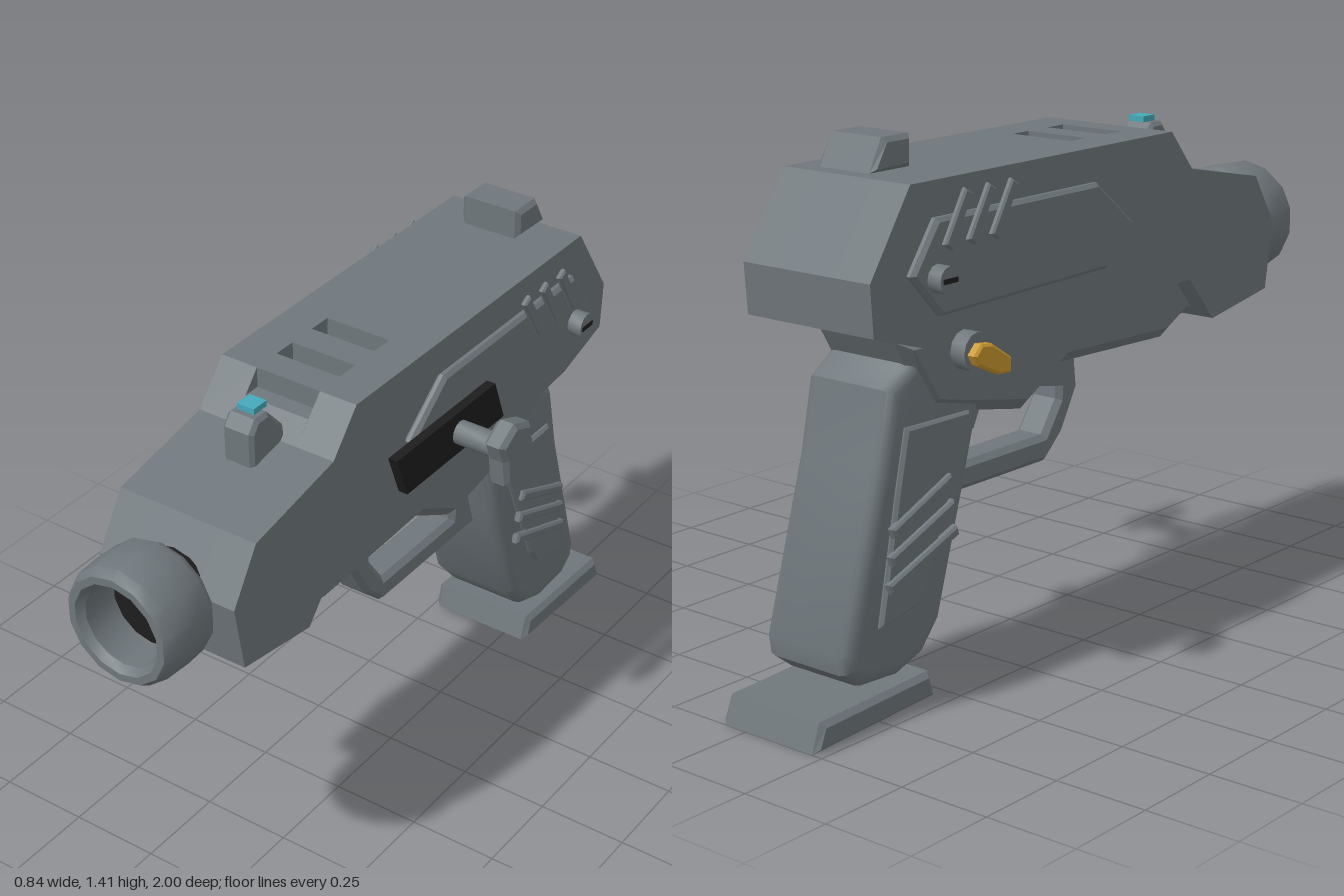
import * as THREE from 'three';
import { toCreasedNormals } from 'three/addons/utils/BufferGeometryUtils.js';

const material = (name, color) => new THREE.MeshStandardMaterial({ name, color });

export function createModel() {
  const grey = material('gunmetal grey', 0x6f777c);
  const black = material('matte black', 0x1d1d1d);
  const gold = material('gold', 0xc9982f);
  const cyan = material('cyan', 0x45a9ba);

  const root = new THREE.Group();
  root.name = 'sciFiPistol';
  const gun = new THREE.Group(); // the gun's own middle plane is x = 0 here
  gun.name = 'pistol';
  gun.position.x = -0.075;
  root.add(gun);

  const add = (name, geometry, mat) => {
    const mesh = new THREE.Mesh(geometry, mat);
    mesh.name = name;
    gun.add(mesh);
    return mesh;
  };
  const toVectors = (pts) => pts.map(([z, y]) => new THREE.Vector2(-z, y));

  // Side outline given as [z, y], extruded from x0 to x1 with an inward bevel
  function slab(name, mat, pts, x0, x1, bevel = 0, { holes = [], segments = 1 } = {}) {
    const shape = new THREE.Shape(toVectors(pts));
    holes.forEach((h) => shape.holes.push(new THREE.Path(toVectors(h))));
    let geo = new THREE.ExtrudeGeometry(shape, {
      depth: x1 - x0 - 2 * bevel, bevelEnabled: bevel > 0, bevelThickness: bevel,
      bevelSize: bevel, bevelOffset: -bevel, bevelSegments: segments,
    });
    geo.translate(0, 0, x0 + bevel);
    geo.rotateY(Math.PI / 2);
    if (segments > 1) geo = toCreasedNormals(geo, 0.6);
    return add(name, geo, mat);
  }
  // The same slab on both flanks
  function pair(name, mat, pts, x0, x1, bevel, options) {
    slab(name + 'Left', mat, pts, x0, x1, bevel, options);
    slab(name + 'Right', mat, pts, -x1, -x0, bevel, options);
  }
  // Bar outline between two [z, y] points
  function bar([az, ay], [bz, by], width) {
    const l = Math.hypot(bz - az, by - ay);
    const nz = (-(by - ay) / l) * width / 2, ny = ((bz - az) / l) * width / 2;
    return [[az + nz, ay + ny], [bz + nz, by + ny], [bz - nz, by - ny], [az - nz, ay - ny]];
  }
  // Cylinder along x
  function xCylinder(name, mat, r, x0, x1, y, z, sides) {
    const geo = new THREE.CylinderGeometry(r, r, x1 - x0, sides);
    geo.rotateZ(Math.PI / 2);
    geo.translate((x0 + x1) / 2, y, z);
    return add(name, toCreasedNormals(geo, 0.7), mat);
  }

  // Upper body: two full outer slabs and a middle slab with notched vents on top
  const underside = [
    [-0.7, 1.32], [-0.84, 1.11], [-0.83, 0.98], [-0.65, 0.925], [-0.5, 0.91], [0.42, 0.91],
    [0.53, 0.785], [0.785, 0.825], [0.815, 1.01], [0.725, 1.15], [0.42, 1.21],
  ];
  pair('bodySide', grey, [...underside, [0.325, 1.32]], 0.095, 0.2025);
  const vents = [[0.245, 0.18], [0.1, 0.035]].flatMap(
    ([a, b]) => [[a, 1.32], [a, 1.27], [b, 1.27], [b, 1.32]]);
  slab('bodyCentre', grey,
    [...underside, [0.373, 1.265], [0.325, 1.265], [0.325, 1.32], ...vents], -0.095, 0.095);

  // Lower frame
  slab('lowerFrame', grey, [
    [0.54, 0.8], [0.49, 0.79], [0.4, 0.745], [-0.035, 0.76], [-0.2, 0.67], [-0.43, 0.715],
    [-0.56, 0.745], [-0.67, 0.93], [0.44, 0.93],
  ], -0.15, 0.15, 0.03);

  // Flank panels with a slot, slanted ribs and a screw
  pair('sidePanel', grey, [
    [0.13, 1.115], [-0.02, 1.235], [-0.635, 1.235], [-0.725, 1.11], [-0.62, 1.0], [0.02, 1.01],
  ], 0.2, 0.23, 0.01, { holes: [[[-0.1, 1.155], [-0.345, 1.155], [-0.38, 1.075], [-0.1, 1.075]]] });
  for (let i = 0; i < 3; i++) {
    const z = -0.37 - i * 0.085;
    pair('sideRib' + (i + 1), grey, bar([z, 1.29], [z - 0.075, 1.165], 0.032), 0.23, 0.248, 0.005);
  }
  for (const s of [-1, 1]) {
    const side = s > 0 ? 'Left' : 'Right';
    const [x0, x1] = s > 0 ? [0.228, 0.27] : [-0.27, -0.228];
    xCylinder('screw' + side, grey, 0.035, x0, x1, 1.095, -0.64, 12);
    const slot = add('screwSlot' + side, new THREE.BoxGeometry(0.004, 0.012, 0.05), black);
    slot.position.set(s * 0.271, 1.095, -0.64);
  }

  // Muzzle: hollow rounded ring with a dark bore
  const ring = [
    [0.1, 0.82], [0.145, 0.82], [0.16, 0.84], [0.163, 0.9], [0.16, 0.975], [0.145, 1],
    [0.125, 1], [0.11, 0.98], [0.11, 0.84],
  ].map(([r, z]) => new THREE.Vector2(r, z));
  const muzzleGeo = new THREE.LatheGeometry(ring, 14);
  muzzleGeo.rotateX(Math.PI / 2);
  const muzzleMat = grey;
  const muzzle = add('muzzle', toCreasedNormals(muzzleGeo, 0.6), muzzleMat);
  muzzle.position.y = 0.98;
  const boreGeo = new THREE.CylinderGeometry(0.109, 0.109, 0.1, 14);
  boreGeo.rotateX(Math.PI / 2);
  add('bore', boreGeo, black).position.set(0, 0.98, 0.83);

  // Sights
  slab('frontSight', grey, [
    [0.53, 1.18], [0.53, 1.28], [0.505, 1.312], [0.46, 1.312], [0.4, 1.245], [0.4, 1.18],
  ], -0.045, 0.045, 0.01);
  add('frontSightDot', new THREE.BoxGeometry(0.05, 0.016, 0.05), cyan).position.set(0, 1.322, 0.468);
  slab('rearSight', grey,
    [[-0.565, 1.332], [-0.565, 1.412], [-0.66, 1.412], [-0.703, 1.332]], -0.09, 0.09, 0.012);

  // Trigger and its guard
  slab('triggerGuard', grey, [
    [0.12, 0.78], [0.135, 0.65], [0.07, 0.535], [0, 0.472], [-0.46, 0.472], [-0.46, 0.78],
  ], -0.05, 0.05, 0.015, {
    holes: [[[0.035, 0.76], [0.055, 0.72], [0.05, 0.63], [-0.01, 0.545],
      [-0.335, 0.545], [-0.35, 0.68], [-0.35, 0.76]]],
  });
  slab('trigger', grey, [
    [-0.2, 0.71], [-0.24, 0.665], [-0.265, 0.615], [-0.305, 0.605], [-0.28, 0.66], [-0.28, 0.71],
  ], -0.025, 0.025, 0.005);

  // Grip with side panels and ridges
  slab('grip', grey, [
    [-0.36, 0.76], [-0.42, 0.55], [-0.525, 0.205], [-0.59, 0.13], [-0.68, 0.1], [-0.81, 0.108],
    [-0.865, 0.15], [-0.872, 0.2], [-0.745, 0.63], [-0.705, 0.82], [-0.64, 0.865], [-0.58, 0.94],
    [-0.45, 0.93],
  ], -0.14, 0.14, 0.035, { segments: 3 });
  pair('gripPanel', grey, [
    [-0.43, 0.72], [-0.665, 0.725], [-0.7, 0.57], [-0.765, 0.25], [-0.63, 0.27], [-0.595, 0.32],
  ], 0.135, 0.155, 0.008);
  for (let i = 0; i < 3; i++) {
    const y = 0.57 - i * 0.068, z = -0.515 + i * 0.01;
    pair('gripRidge' + (i + 1), grey, bar([z, y], [-0.73 - i * 0.007, y - 0.09], 0.028), 0.145, 0.17, 0.006);
  }

  // Magazine base plate
  slab('magazineBase', grey,
    [[-0.59, 0.09], [-0.975, 0.076], [-1, 0.003], [-0.57, 0.02]], -0.158, 0.158, 0.014);

  // Charging handle on the left flank
  slab('handleTrack', black,
    [[0.285, 1.17], [-0.15, 1.17], [-0.195, 1.05], [0.24, 1.05]], 0.266, 0.292);
  xCylinder('handleRod', grey, 0.032, 0.285, 0.44, 1.11, 0.01, 12);
  slab('handleKnob', grey, [
    [0.125, 1.19], [0.06, 1.228], [-0.01, 1.2], [-0.04, 1.065], [0.095, 1.065], [0.105, 1.14],
  ], 0.43, 0.49, 0.012);

  // Safety selector on the right flank
  xCylinder('selectorHub', grey, 0.048, -0.315, -0.272, 0.925, -0.597, 12);
  slab('selectorLever', gold, [
    [-0.64, 0.925], [-0.615, 0.95], [-0.575, 0.945], [-0.505, 0.9], [-0.505, 0.862],
    [-0.55, 0.865], [-0.625, 0.9],
  ], -0.345, -0.315, 0.006);

  return root;
}
